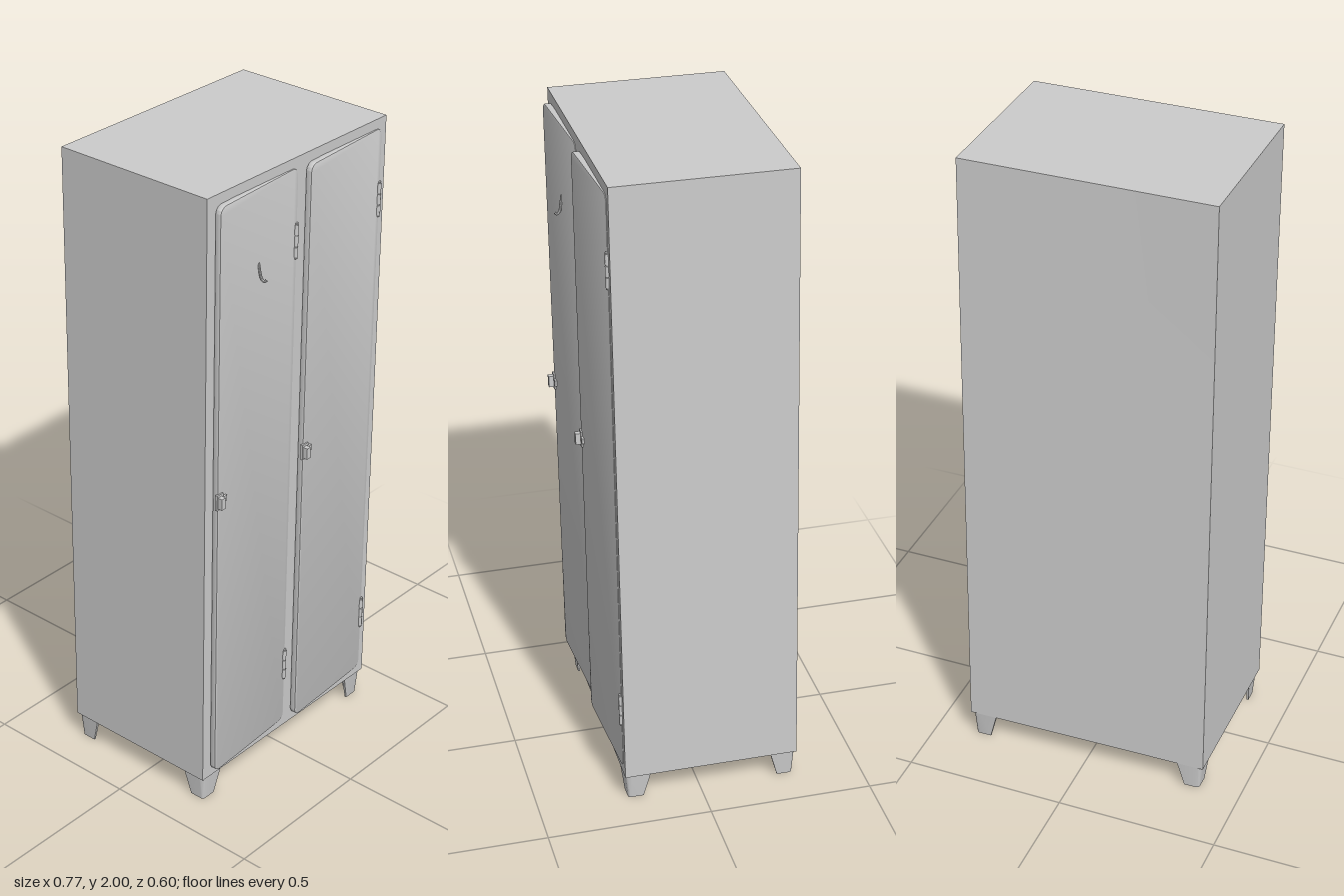
import * as THREE from 'three';
import { toCreasedNormals } from 'three/addons/utils/BufferGeometryUtils.js';

const HEIGHT = 2, BASE = 0.085, HALF_W = 0.385, HALF_D = 0.265;

// Move every vertex of a geometry by a rule
function warp(geometry, rule) {
  const p = geometry.attributes.position, v = new THREE.Vector3();
  for (let i = 0; i < p.count; i++) {
    v.fromBufferAttribute(p, i);
    rule(v);
    p.setXYZ(i, v.x, v.y, v.z);
  }
  return geometry;
}

// The old cabinet leans forward, twists a little and narrows on one side
function lean(v) {
  const down = 1 - v.y / HEIGHT;
  v.z -= 0.03 * down;
  if (v.z < 0) v.z -= 0.007 * down * (v.x / HALF_W);
  if (v.x > 0) v.x *= 1 - 0.025 * (1 - down);
}

function roundedRect(x0, x1, y0, y1, r) {
  const s = new THREE.Shape();
  s.absarc(x1 - r, y0 + r, r, -Math.PI / 2, 0);
  s.absarc(x1 - r, y1 - r, r, 0, Math.PI / 2);
  s.absarc(x0 + r, y1 - r, r, Math.PI / 2, Math.PI);
  s.absarc(x0 + r, y0 + r, r, Math.PI, Math.PI * 1.5);
  return s;
}

export function createModel() {
  const group = new THREE.Group();
  const material = new THREE.MeshStandardMaterial({ color: 0xcccccc });

  function add(name, geometry) {
    const mesh = new THREE.Mesh(toCreasedNormals(warp(geometry, lean), 0.6), material);
    mesh.name = name;
    group.add(mesh);
  }
  const box = (name, w, h, d, x, y, z) =>
    add(name, new THREE.BoxGeometry(w, h, d).translate(x, y, z));

  // Cabinet body
  add('body', new THREE.BoxGeometry(HALF_W * 2, HEIGHT - BASE, HALF_D * 2, 4, 6, 2)
    .translate(0, (HEIGHT + BASE) / 2, 0));

  // Two doors, each slightly ajar on its -x edge
  const doors = [['rightDoor', -0.355, -0.012], ['leftDoor', 0.02, 0.365]];
  for (const [name, x0, x1] of doors) {
    const faceAt = x => HALF_D + 0.002 + 0.02 * (x1 - x) / (x1 - x0);
    const panel = new THREE.ExtrudeGeometry(roundedRect(x0 + 0.003, x1 - 0.003, 0.113, 1.967, 0.022), {
      depth: 0.014, bevelThickness: 0.003, bevelSize: 0.003, bevelSegments: 2, curveSegments: 6,
    });
    add(name, warp(panel, v => { v.z += faceAt(v.x) - 0.017; }));

    // Hinges: a pin with three knuckles
    for (const y of [0.32, 1.75]) {
      add(name + 'HingePin', new THREE.CylinderGeometry(0.005, 0.005, 0.11, 10)
        .translate(x1 - 0.004, y, HALF_D + 0.003));
      for (const dy of [-0.034, 0, 0.034]) {
        add(name + 'HingeKnuckle', new THREE.CylinderGeometry(0.007, 0.007, 0.03, 12)
          .translate(x1 - 0.004, y + dy, HALF_D + 0.002));
      }
    }

    // Latch: backing plate, turn knob and catch
    const zf = faceAt(x0);
    box(name + 'LatchPlate', 0.026, 0.05, 0.008, x0 + 0.006, 1.065, zf);
    box(name + 'LatchKnob', 0.016, 0.036, 0.022, x0 + 0.004, 1.065, zf + 0.008);
    box(name + 'LatchCatch', 0.016, 0.018, 0.01, x0 + 0.026, 1.068, zf);
  }

  // Small hook on the right door
  const hookPath = new THREE.CatmullRomCurve3([
    [-0.184, 1.75, 0.275], [-0.183, 1.72, 0.28], [-0.18, 1.698, 0.285],
    [-0.178, 1.692, 0.294], [-0.176, 1.7, 0.3],
  ].map(p => new THREE.Vector3(...p)));
  add('hook', new THREE.TubeGeometry(hookPath, 14, 0.004, 8));

  // Tapered angle-iron legs, one turned into each corner
  const arm = 0.08, t = 0.01, r = 0.018;
  const section = new THREE.Shape();
  section.moveTo(-arm, 0);
  section.lineTo(-arm, -t);
  section.lineTo(-r, -t);
  section.quadraticCurveTo(-t, -t, -t, -r);
  section.lineTo(-t, -arm);
  section.lineTo(0, -arm);
  section.lineTo(0, -r);
  section.quadraticCurveTo(0, 0, -r, 0);
  section.closePath();
  const corners = [['frontLeftLeg', 1, 1], ['backLeftLeg', 1, -1], ['backRightLeg', -1, -1], ['frontRightLeg', -1, 1]];
  corners.forEach(([name, sx, sz], k) => {
    const leg = new THREE.ExtrudeGeometry(section, { depth: 0.09, bevelEnabled: false, curveSegments: 6 });
    leg.rotateX(Math.PI / 2).translate(0, 0.09, 0);
    warp(leg, v => {
      const s = 0.6 + 0.4 * v.y / 0.09, inset = 0.008 * (1 - v.y / 0.09);
      v.x = v.x * s - inset;
      v.z = v.z * s - inset;
    });
    leg.rotateY(k * Math.PI / 2).translate(sx * (HALF_W - 0.006), 0, sz * (HALF_D - 0.002));
    add(name, leg);
  });

  return group;
}
